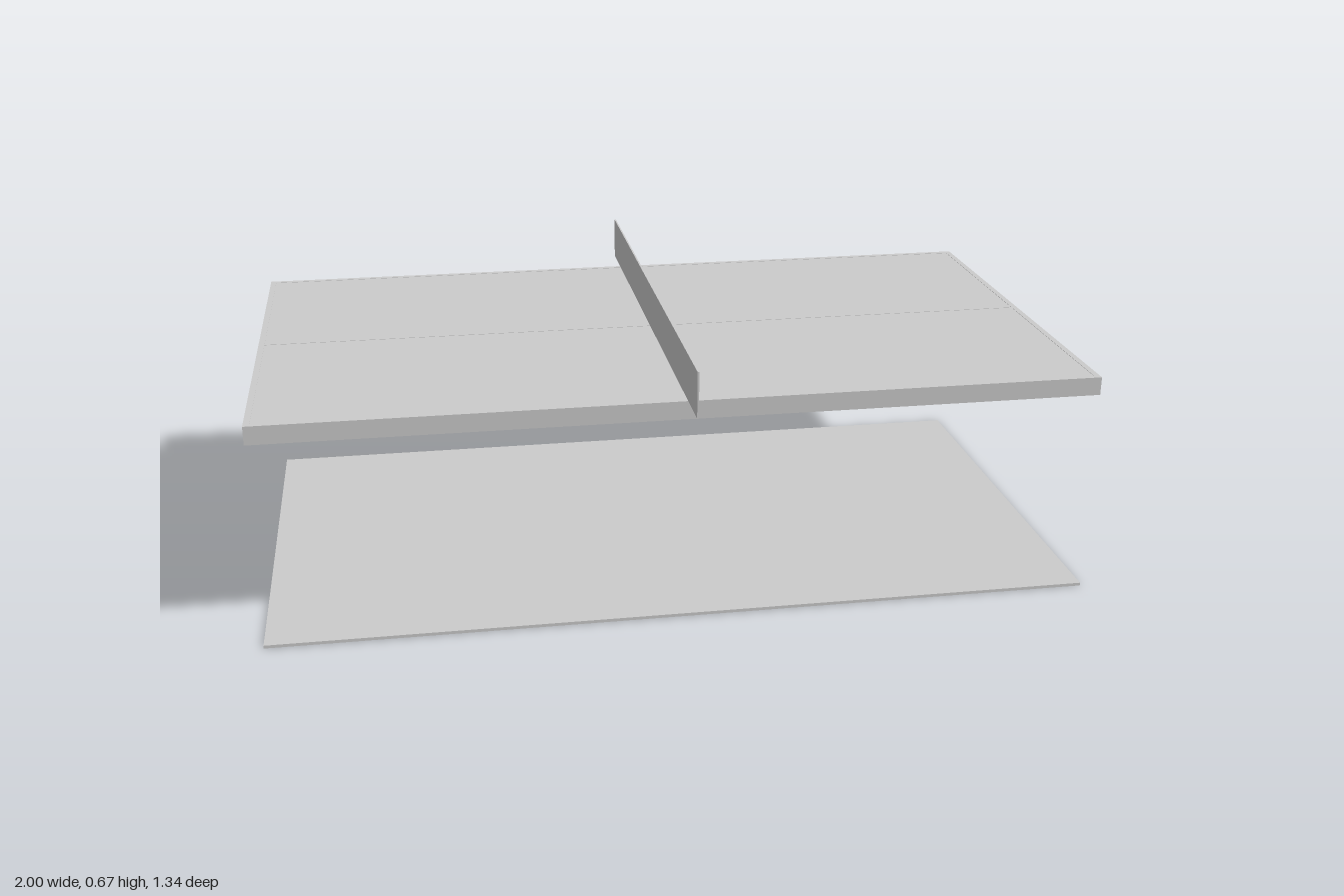
import * as THREE from 'three';

export function createModel() {
  const model = new THREE.Group();
  const material = new THREE.MeshStandardMaterial({ color: 0xcccccc });

  const L = 2, W = 1.113; // table length (x) and width (z)
  const TOP = 0.555;      // playing surface height
  const LINE = 0.0146;    // border line width
  const RISE = 0.0008;    // thickness of the painted lines

  // Box resting on a given height
  function slab(name, sx, sy, sz, x, bottom, z) {
    const mesh = new THREE.Mesh(new THREE.BoxGeometry(sx, sy, sz), material);
    mesh.name = name;
    mesh.position.set(x, bottom + sy / 2, z);
    model.add(mesh);
  }

  // Floor panel and table top
  slab('floorPanel', L, 0.0075, W, 0, 0, 0);
  slab('tableTop', L, 0.044, W, 0, TOP - 0.044, 0);

  // Border lines, inset flush with the table edges
  for (const s of [-1, 1]) {
    slab('sideLine', L, RISE, LINE, 0, TOP, s * (W - LINE) / 2);
    slab('endLine', LINE, RISE, W - 2 * LINE, s * (L - LINE) / 2, TOP, 0);
  }

  // Thin centre line along the length
  slab('centreLine', L - 2 * LINE, RISE, 0.003, 0, TOP, 0);

  // Net, overhanging both long sides
  slab('net', 0.004, 0.111, 1.336, 0, TOP + 0.001, 0);

  return model;
}
